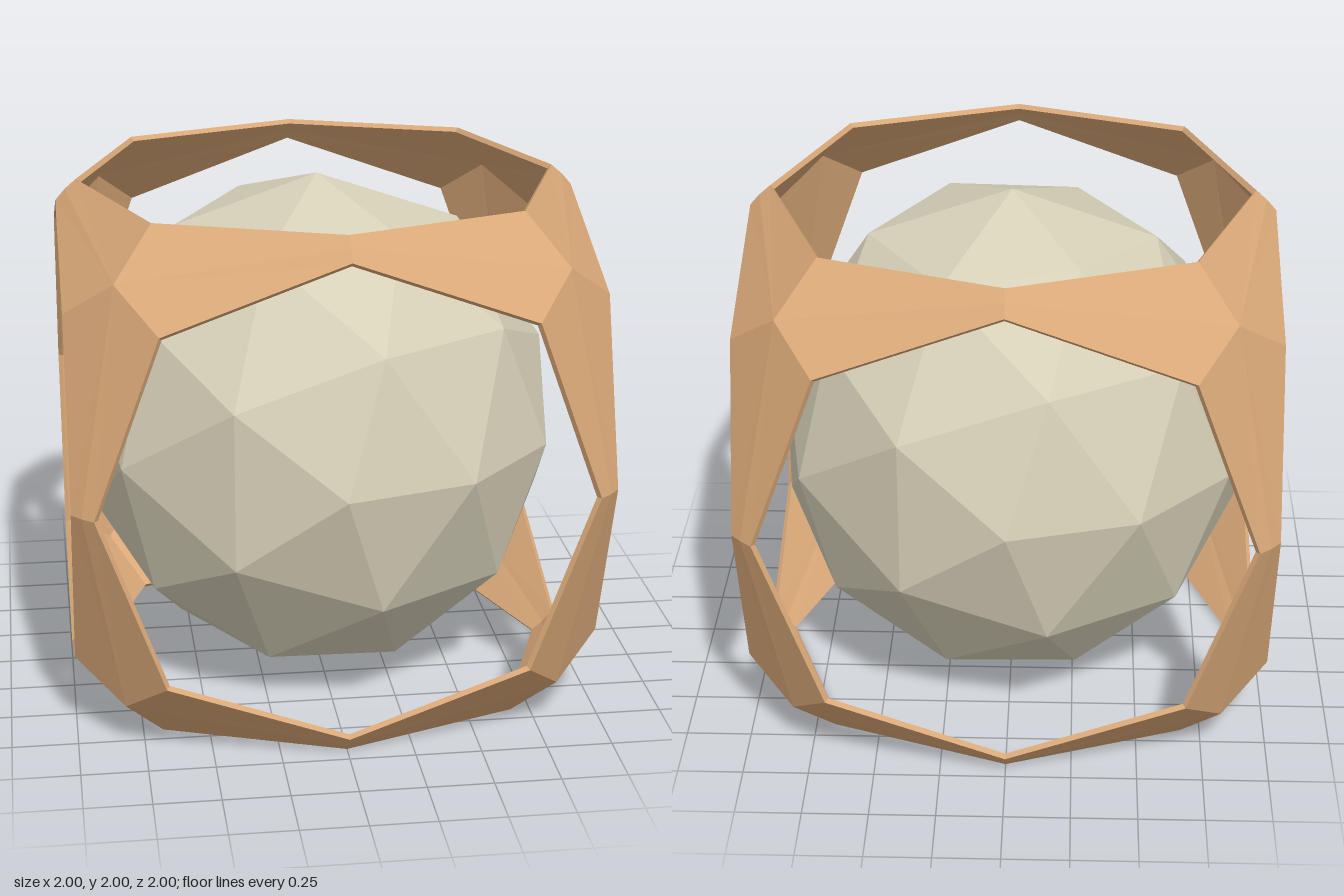
import * as THREE from 'three';

const WINDOW_CORNER = 0.675; // diagonal corners of each eight-sided window
const WINDOW_MID = 0.92;     // window points next to the middle of each bar
const RIDGE = 0.963;         // crest at the middle of each bar
const APEX = 0.82;           // outer tip of each three-armed corner
const INNER = 0.984;         // inner skin relative to the outer skin

// Cage of eight three-armed corners, joined at the middles of twelve bars
function buildCage() {
  const pos = [];

  // Adds a triangle, turned so that it faces along dir
  const tri = (a, b, c, dir) => {
    const n = b.clone().sub(a).cross(c.clone().sub(a));
    const order = n.dot(dir) >= 0 ? [a, b, c] : [a, c, b];
    order.forEach((p) => pos.push(p.x, p.y, p.z));
  };
  const inner = (p) => p.clone().multiplyScalar(INNER);

  // Half of one arm: from the corner apex to the bar middle, on one side of the ridge
  const halfArm = (u, v, w) => {
    const at = (a, b, c) => new THREE.Vector3()
      .addScaledVector(u, a).addScaledVector(v, b).addScaledVector(w, c);
    const apex = at(APEX, APEX, APEX);
    const corner = at(WINDOW_CORNER, WINDOW_CORNER, 1);
    const mid = at(0, WINDOW_MID, 1);
    const ridge = at(0, RIDGE, RIDGE);
    const out = at(0.3, 1, 1);
    for (const t of [[apex, corner, mid], [apex, mid, ridge]]) {
      tri(...t, out);
      tri(...t.map(inner), out.clone().negate());
    }
    // Lip around the window
    const lip = at(-1, -1, 0);
    tri(corner, mid, inner(mid), lip);
    tri(corner, inner(mid), inner(corner), lip);
  };

  for (const sx of [-1, 1]) for (const sy of [-1, 1]) for (const sz of [-1, 1]) {
    const axes = [
      new THREE.Vector3(sx, 0, 0),
      new THREE.Vector3(0, sy, 0),
      new THREE.Vector3(0, 0, sz),
    ];
    for (let i = 0; i < 3; i++) {
      const u = axes[i], v = axes[(i + 1) % 3], w = axes[(i + 2) % 3];
      halfArm(u, v, w);
      halfArm(u, w, v);
    }
  }

  const geo = new THREE.BufferGeometry();
  geo.setAttribute('position', new THREE.Float32BufferAttribute(pos, 3));
  geo.computeVertexNormals();
  return geo;
}

// Faceted ball with a five-sided vertex facing front, slightly taller than wide
function buildCore() {
  const golden = (1 + Math.sqrt(5)) / 2;
  return new THREE.IcosahedronGeometry(0.94, 1)
    .rotateX(Math.atan(1 / golden))
    .rotateZ(Math.PI / 2)
    .scale(1, 1.06, 1);
}

export function createModel() {
  const group = new THREE.Group();
  group.name = 'cagedBall';
  const add = (name, geometry, color) => {
    const mesh = new THREE.Mesh(
      geometry, new THREE.MeshStandardMaterial({ color, flatShading: true }));
    mesh.name = name;
    mesh.position.y = 1;
    group.add(mesh);
  };
  add('outerCage', buildCage(), 0xd9a878);
  add('innerBall', buildCore(), 0xd6d0b8);
  return group;
}
